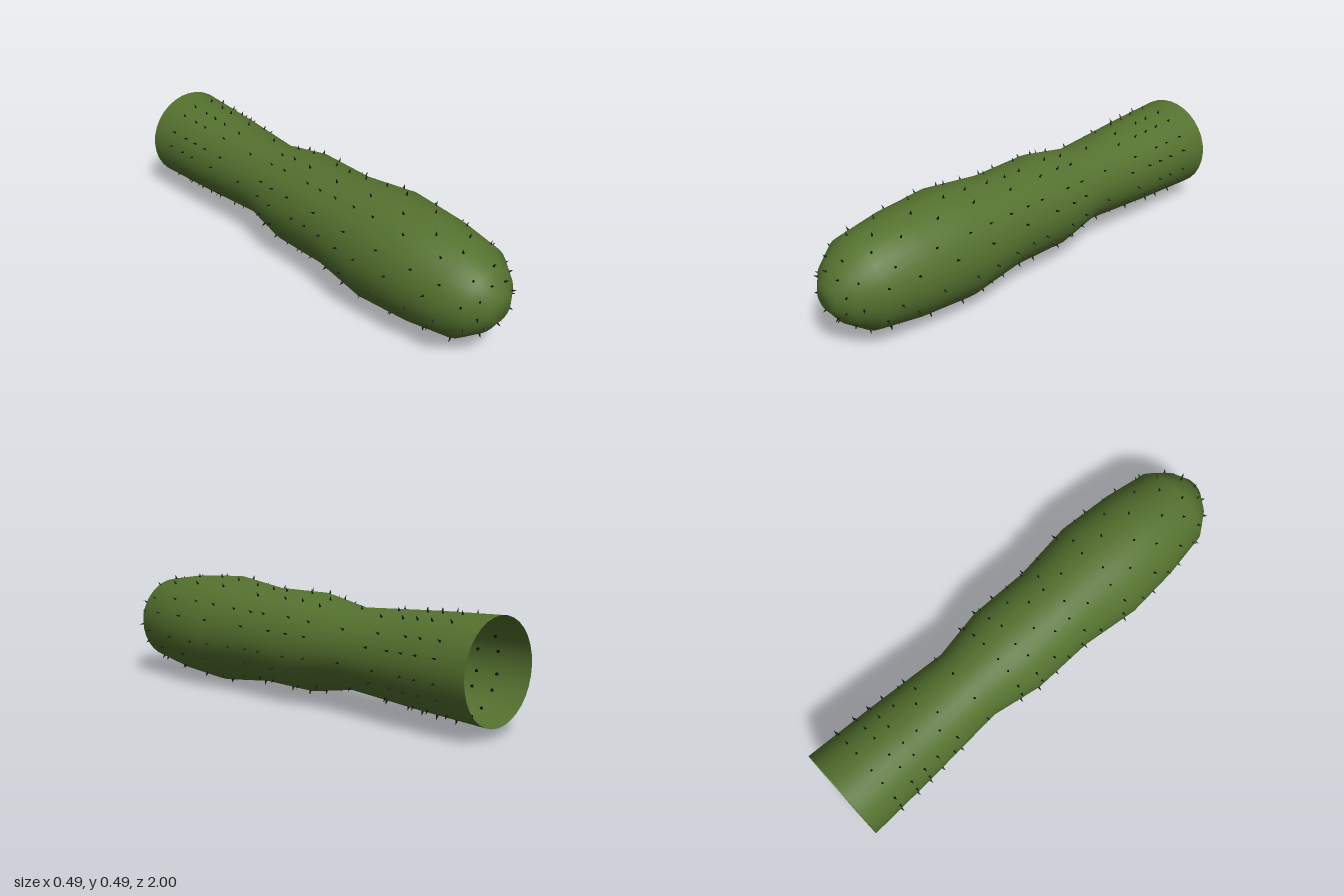
import * as THREE from 'three';

// Body outline from the open rear end to the rounded tip: [radius, z]
const PROFILE = [
  [0.204, -1], [0.19, -0.7], [0.166, -0.33], [0.205, -0.11], [0.202, 0.16],
  [0.233, 0.42], [0.217, 0.66], [0.186, 0.86], [0.125, 0.945], [0.055, 0.998], [0, 1],
];
const CENTRE_Y = 0.245;

// Rings of eight spikes; the two sets are turned against each other
const RINGS_A = [-0.86, -0.77, -0.7, -0.63, -0.52, -0.2, -0.11, -0.01, 0.16, 0.37, 0.55, 0.72, 0.85, 0.97];
const RINGS_B = [-0.86, -0.77, -0.7, -0.56, -0.37, -0.2, -0.1, 0.05, 0.13, 0.23, 0.35, 0.46, 0.62, 0.8, 0.93];

// Radius and outline normal (radial, axial) at a given z
function outlineAt(z) {
  let i = 0;
  while (i < PROFILE.length - 2 && PROFILE[i + 1][1] < z) i++;
  const [r0, z0] = PROFILE[i], [r1, z1] = PROFILE[i + 1];
  const length = Math.hypot(r1 - r0, z1 - z0);
  return {
    radius: r0 + (r1 - r0) * (z - z0) / (z1 - z0),
    radial: (z1 - z0) / length,
    axial: (r0 - r1) / length,
  };
}

export function createModel() {
  const green = new THREE.MeshStandardMaterial({ color: 0x55722f, side: THREE.DoubleSide });
  green.name = 'olive green';
  const black = new THREE.MeshStandardMaterial({ color: 0x0c0c0c });
  black.name = 'spike black';

  const model = new THREE.Group();
  model.name = 'spinyStem';

  // Hollow stem, open at the rear
  const bodyGeometry = new THREE.LatheGeometry(PROFILE.map(([r, z]) => new THREE.Vector2(r, z)), 32);
  bodyGeometry.rotateX(Math.PI / 2);
  const body = new THREE.Mesh(bodyGeometry, green);
  body.name = 'stem';
  body.position.y = CENTRE_Y;
  model.add(body);

  // Small thorns standing on the skin, their bases passing through it
  const spikes = new THREE.Group();
  spikes.name = 'spikes';
  spikes.position.y = CENTRE_Y;
  const spikeGeometry = new THREE.ConeGeometry(0.0065, 0.026, 6);
  const up = new THREE.Vector3(0, 1, 0);

  function addRing(z, startDegrees) {
    const { radius, radial, axial } = outlineAt(z);
    for (let k = 0; k < 8; k++) {
      const angle = THREE.MathUtils.degToRad(startDegrees + k * 45);
      const c = Math.cos(angle), s = Math.sin(angle);
      const normal = new THREE.Vector3(c * radial, s * radial, axial);
      const spike = new THREE.Mesh(spikeGeometry, black);
      spike.name = 'spike';
      spike.position.set(c * radius, s * radius, z).addScaledVector(normal, 0.005);
      spike.quaternion.setFromUnitVectors(up, normal);
      spikes.add(spike);
    }
  }
  RINGS_A.forEach((z) => addRing(z, 16));
  RINGS_B.forEach((z) => addRing(z, 35));
  model.add(spikes);

  return model;
}
